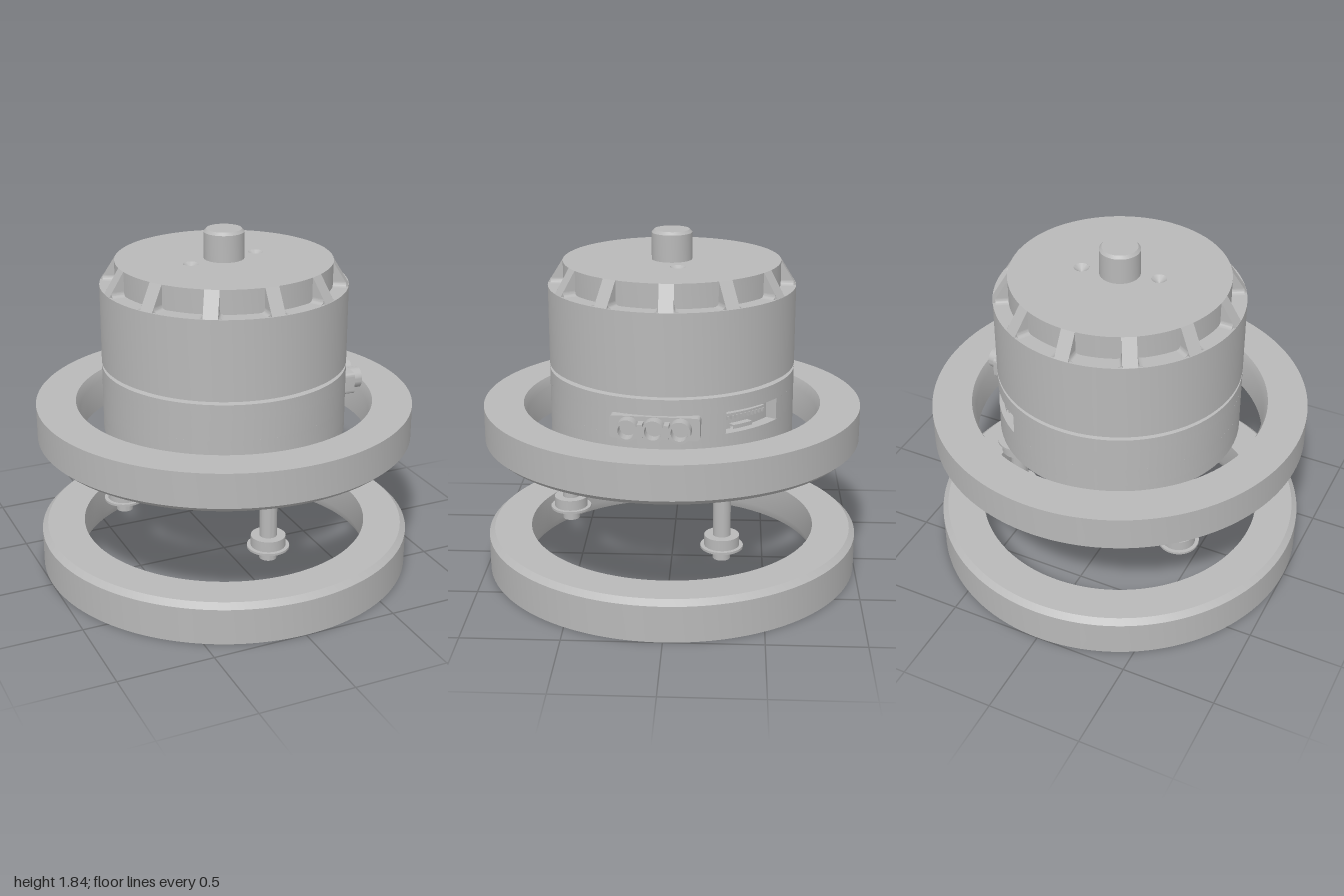
import * as THREE from 'three';
import { toCreasedNormals } from 'three/addons/utils/BufferGeometryUtils.js';

const grey = new THREE.MeshStandardMaterial({ color: 0xb8b8b8, side: THREE.DoubleSide });
grey.name = 'machined grey';

function add(parent, name, geometry, x = 0, y = 0, z = 0) {
  const mesh = new THREE.Mesh(geometry, grey);
  mesh.name = name;
  mesh.position.set(x, y, z);
  parent.add(mesh);
  return mesh;
}

// Turned part from [radius, y] pairs, with crisp edges
const turned = (points, segments = 96) => toCreasedNormals(
  new THREE.LatheGeometry(points.map(([r, y]) => new THREE.Vector2(r, y)), segments), 0.4);

function circle(r, holes = []) {
  const s = new THREE.Shape().absarc(0, 0, r, 0, Math.PI * 2, false);
  for (const [x, y, hr] of holes) s.holes.push(new THREE.Path().absarc(x, y, hr, 0, Math.PI * 2, true));
  return s;
}

function extruded(shape, depth, curveSegments = 48) {
  return toCreasedNormals(new THREE.ExtrudeGeometry(shape, { depth, bevelEnabled: false, curveSegments }), 0.4);
}

// Extrusion that rises along y; shape y becomes -z
const upright = (shape, depth) => extruded(shape, depth).rotateX(-Math.PI / 2);

function gearShape(teeth, tip, root) {
  const s = new THREE.Shape();
  const step = Math.PI * 2 / teeth;
  for (let i = 0; i < teeth; i++) {
    [[-0.5, root], [-0.28, root], [-0.13, tip], [0.13, tip], [0.28, root]].forEach(([k, r], j) => {
      const a = (i + k) * step;
      if (i + j === 0) s.moveTo(r * Math.cos(a), r * Math.sin(a));
      else s.lineTo(r * Math.cos(a), r * Math.sin(a));
    });
  }
  s.closePath();
  return s;
}

export function createModel() {
  const model = new THREE.Group();
  model.name = 'gearedMotor';

  // Two housing rings, chamfered where they face each other
  add(model, 'lowerRing', turned([[0.79, 0], [1, 0], [1, 0.193], [0.97, 0.22], [0.77, 0.22], [0.77, 0.05], [0.79, 0]], 128));
  add(model, 'upperRing', turned([[0.77, 0.715], [0.97, 0.715], [1, 0.742], [1, 0.925], [0.79, 0.925], [0.77, 0.875], [0.77, 0.715]], 128));

  // Motor base with mounting holes and central boss
  const holes = [45, 135, 225, 315].map(d => {
    const a = THREE.MathUtils.degToRad(d);
    return [0.54 * Math.cos(a), 0.54 * Math.sin(a), 0.035];
  });
  add(model, 'basePlate', upright(circle(0.645, holes), 0.06), 0, 0.77, 0);
  add(model, 'baseBoss', turned([[0, 0.703], [0.4, 0.703], [0.412, 0.715], [0.412, 0.775]]));

  // Stator wall, with a gap in its middle band for the recessed port
  const rad = THREE.MathUtils.degToRad;
  const gapStart = 116.7, gapEnd = 148.5;
  add(model, 'statorLower', turned([[0, 0.83], [0.645, 0.83], [0.645, 0.932], [0, 0.932]]));
  add(model, 'statorBand', new THREE.CylinderGeometry(0.645, 0.645, 0.113, 96, 1, true, rad(gapEnd), rad(360 - gapEnd + gapStart)), 0, 0.9885, 0);
  add(model, 'statorCore', new THREE.CylinderGeometry(0.585, 0.585, 0.113, 96, 1, true), 0, 0.9885, 0);
  add(model, 'statorUpper', turned([[0, 1.045], [0.645, 1.045], [0.645, 1.125], [0.617, 1.13], [0.617, 1.155]]));

  // Pin port inside the gap
  const port = new THREE.Group();
  port.name = 'pinPort';
  model.add(port);
  for (const d of [gapStart, gapEnd]) {
    const wall = add(port, 'portWall', new THREE.BoxGeometry(0.06, 0.113, 0.012),
      0.614 * Math.sin(rad(d)), 0.9885, 0.614 * Math.cos(rad(d)));
    wall.rotation.y = rad(d - 90);
  }
  for (let i = 0; i < 10; i++) {
    const d = 119 + i * 2.3;
    const pin = add(port, 'pin', new THREE.BoxGeometry(0.03, 0.02, 0.012),
      0.615 * Math.sin(rad(d)), 1.005, 0.615 * Math.cos(rad(d)));
    pin.rotation.y = rad(d - 90);
  }
  add(port, 'portShelf', new THREE.CylinderGeometry(0.625, 0.625, 0.012, 24, 1, false, rad(gapStart), rad(24)), 0, 1.021, 0);
  add(port, 'portSlot', new THREE.CylinderGeometry(0.62, 0.62, 0.02, 12, 1, false, rad(122), rad(11)), 0, 0.95, 0);

  // Rotating bell with vented, ribbed shoulder
  add(model, 'bell', turned([[0.6, 1.145], [0.645, 1.145], [0.645, 1.56], [0.5, 1.56]]));
  const dimples = [[-0.2, 0.035], [0.197, -0.038]];
  add(model, 'bellTop', upright(circle(0.565, dimples.map(([x, z]) => [x, -z, 0.04])), 0.125), 0, 1.56, 0);
  for (const [x, z] of dimples) add(model, 'dimple', turned([[0, 1.655], [0.04, 1.685]], 32), x, 0, z);

  const rib = new THREE.Shape([[0.54, 0], [0.643, 0], [0.565, 0.125], [0.54, 0.125]].map(p => new THREE.Vector2(...p)));
  const ribGeometry = extruded(rib, 0.074).translate(0, 0, -0.037);
  // Small fillets between shoulder and rib
  const fillet = new THREE.Shape();
  fillet.moveTo(0, 0);
  fillet.lineTo(0.025, 0);
  fillet.quadraticCurveTo(0, 0, 0, 0.025);
  const filletGeometry = extruded(fillet, 0.07, 6).rotateY(Math.PI / 2);
  for (let i = 0; i < 12; i++) {
    const spoke = new THREE.Group();
    spoke.name = 'shoulderRib';
    spoke.position.y = 1.56;
    spoke.rotation.y = i * Math.PI / 6;
    add(spoke, 'rib', ribGeometry);
    add(spoke, 'ribFillet', filletGeometry, 0.56, 0, -0.037);
    add(spoke, 'ribFillet', filletGeometry, 0.56, 0, 0.037).scale.z = -1;
    model.add(spoke);
  }
  add(model, 'topShaft', turned([[0.105, 1.68], [0.105, 1.825], [0.092, 1.84], [0, 1.84]], 48));

  // Three-socket power connector
  const connector = new THREE.Group();
  connector.name = 'powerConnector';
  connector.rotation.y = -rad(4.8);
  connector.position.y = 0.985;
  const w = 0.224, h = 0.058, c = 0.02;
  const plate = new THREE.Shape();
  plate.moveTo(-w + c, -h);
  plate.lineTo(w - c, -h);
  plate.quadraticCurveTo(w, -h, w, -h + c);
  plate.lineTo(w, h - c);
  plate.quadraticCurveTo(w, h, w - c, h);
  plate.lineTo(-w + c, h);
  plate.quadraticCurveTo(-w, h, -w, h - c);
  plate.lineTo(-w, -h + c);
  plate.quadraticCurveTo(-w, -h, -w + c, -h);
  add(connector, 'connectorPlate', extruded(plate, 0.075, 8).rotateY(Math.PI / 2), 0.588, 0, 0);
  const socket = extruded(circle(0.056, [[0, 0, 0.042]]), 0.068, 20).rotateY(Math.PI / 2);
  for (const z of [-0.13, 0, 0.13]) add(connector, 'socket', socket, 0.655, 0, z);
  for (const z of [-0.065, 0.065]) add(connector, 'socketBridge', new THREE.BoxGeometry(0.068, 0.07, 0.026), 0.689, 0, z);
  model.add(connector);

  // Drive pinion under the motor
  add(model, 'pinion', upright(gearShape(18, 0.175, 0.135), 0.16), 0, 0.505, 0);
  add(model, 'pinionHub', new THREE.CylinderGeometry(0.077, 0.077, 0.06, 40), 0, 0.69, 0);

  // Three pins carrying flanged bearings
  const pinProfile = turned([[0, 0.22], [0.045, 0.22], [0.045, 0.272], [0.065, 0.272], [0.065, 0.282], [0.11, 0.282],
    [0.11, 0.294], [0.09, 0.294], [0.09, 0.35], [0.045, 0.35], [0.045, 0.578], [0.09, 0.578], [0.09, 0.64],
    [0.11, 0.64], [0.11, 0.652], [0.065, 0.652], [0.065, 0.664], [0.045, 0.664], [0.045, 0.772]], 40);
  for (let i = 0; i < 3; i++) {
    const a = Math.PI / 2 + i * Math.PI * 2 / 3;
    add(model, 'bearingPin', pinProfile, 0.557 * Math.cos(a), 0, 0.557 * Math.sin(a));
  }
  return model;
}
